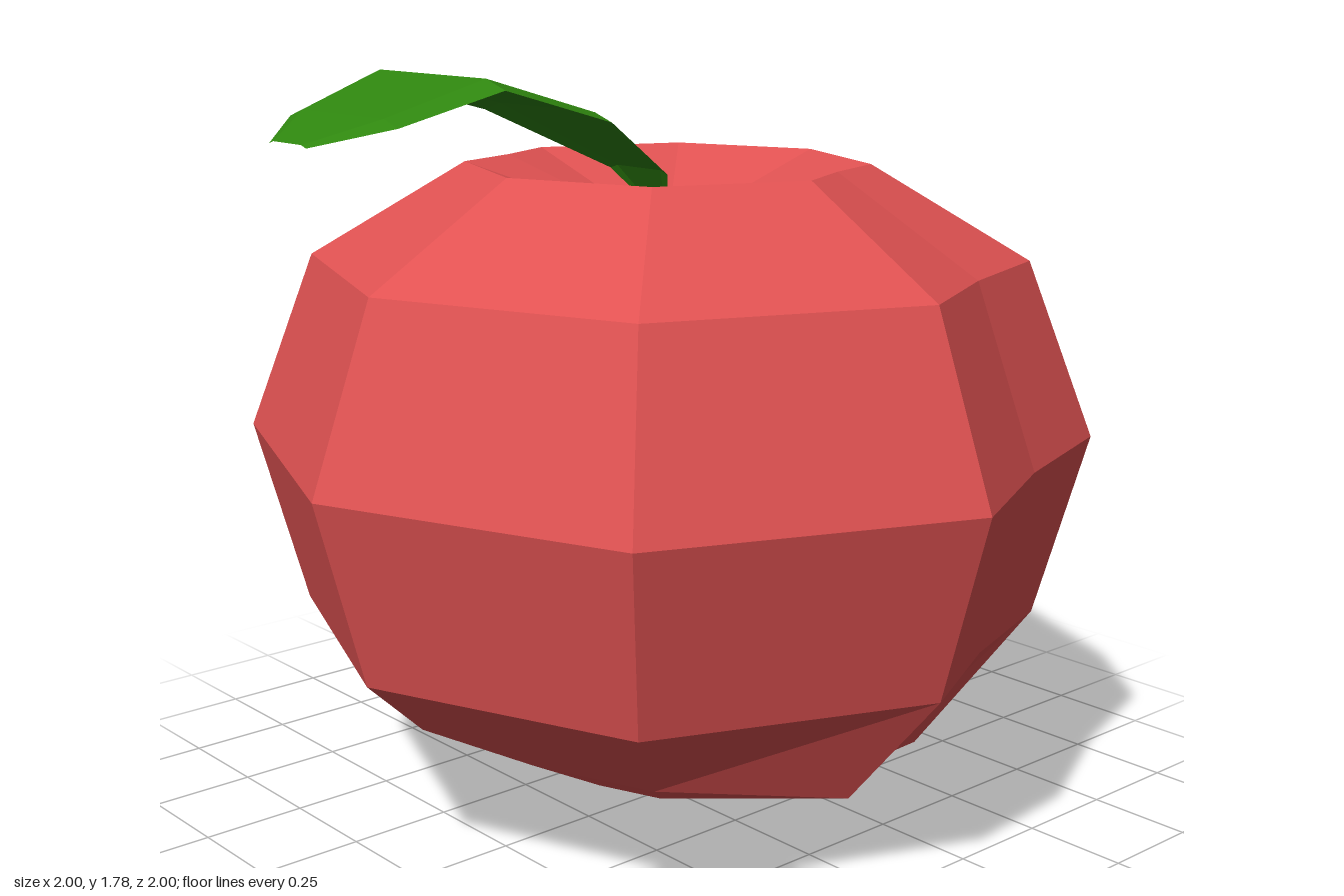
import * as THREE from 'three';

// Surface through rows of points; closed joins each row's end to its start
function loft(rows, closed) {
  const n = rows[0].length, index = [];
  for (let i = 0; i < rows.length - 1; i++) {
    for (let j = 0; j < (closed ? n : n - 1); j++) {
      const k = (j + 1) % n;
      const a = i * n + j, b = i * n + k, c = a + n, d = b + n;
      index.push(a, c, b, b, c, d);
    }
  }
  const geo = new THREE.BufferGeometry();
  geo.setAttribute('position', new THREE.Float32BufferAttribute(rows.flat(2), 3));
  geo.setIndex(index);
  const flat = geo.toNonIndexed();
  flat.computeVertexNormals();
  return flat;
}

export function createModel() {
  const red = new THREE.MeshStandardMaterial({ color: 0xe05252, flatShading: true });
  red.name = 'apple red';
  const green = new THREE.MeshStandardMaterial({ color: 0x2f860f, flatShading: true, side: THREE.DoubleSide });
  green.name = 'leaf green';

  // Eight corners, plus a shallow groove in two of the sides
  const angles = [0, 45, 67.5, 90, 135, 180, 225, 247.5, 270, 315];
  const ring = (y, r) => angles.map((deg) => {
    const a = THREE.MathUtils.degToRad(deg);
    const s = r * (deg % 45 ? 0.9 : deg === 180 ? 0.98 : 1);
    return [s * Math.cos(a), y, s * Math.sin(a)];
  });

  // Uneven lobes under the fruit
  const lobeR = [0.42, 0.61, 0.53, 0.62, 0.43, 0.42, 0.61, 0.53, 0.62, 0.61];
  const lobeY = [0.18, 0.14, 0.17, 0.18, 0.18, 0.18, 0.14, 0.17, 0.18, 0.14];
  const lobes = angles.map((deg, i) => {
    const a = THREE.MathUtils.degToRad(deg);
    return [lobeR[i] * Math.cos(a), lobeY[i], lobeR[i] * Math.sin(a)];
  });

  // Body from the bottom tip, over the rim and down into the dimple
  const body = new THREE.Mesh(loft([
    ring(0, 0), ring(0, 0.03), ring(0.07, 0.22), lobes,
    ring(0.485, 0.88), ring(0.92, 1), ring(1.335, 0.84),
    ring(1.555, 0.47), ring(1.43, 0.11), ring(1.41, 0),
  ], true), red);
  body.name = 'fruitBody';

  // Leaf sections: x, y, half width, with the edges turned down
  const sections = [
    [0, 1.42, 0.005], [-0.085, 1.55, 0.1], [-0.35, 1.7, 0.225],
    [-0.65, 1.785, 0.255], [-0.87, 1.715, 0.2], [-1, 1.665, 0.07],
  ];
  const leaf = new THREE.Mesh(loft(sections.map(([x, y, w]) =>
    [-1, -0.75, 0.75, 1].map((t) => [x, y - (Math.abs(t) === 1 ? w * 0.08 : 0), t * w])), false), green);
  leaf.name = 'leaf';

  const group = new THREE.Group();
  group.name = 'apple';
  group.add(body, leaf);
  return group;
}
